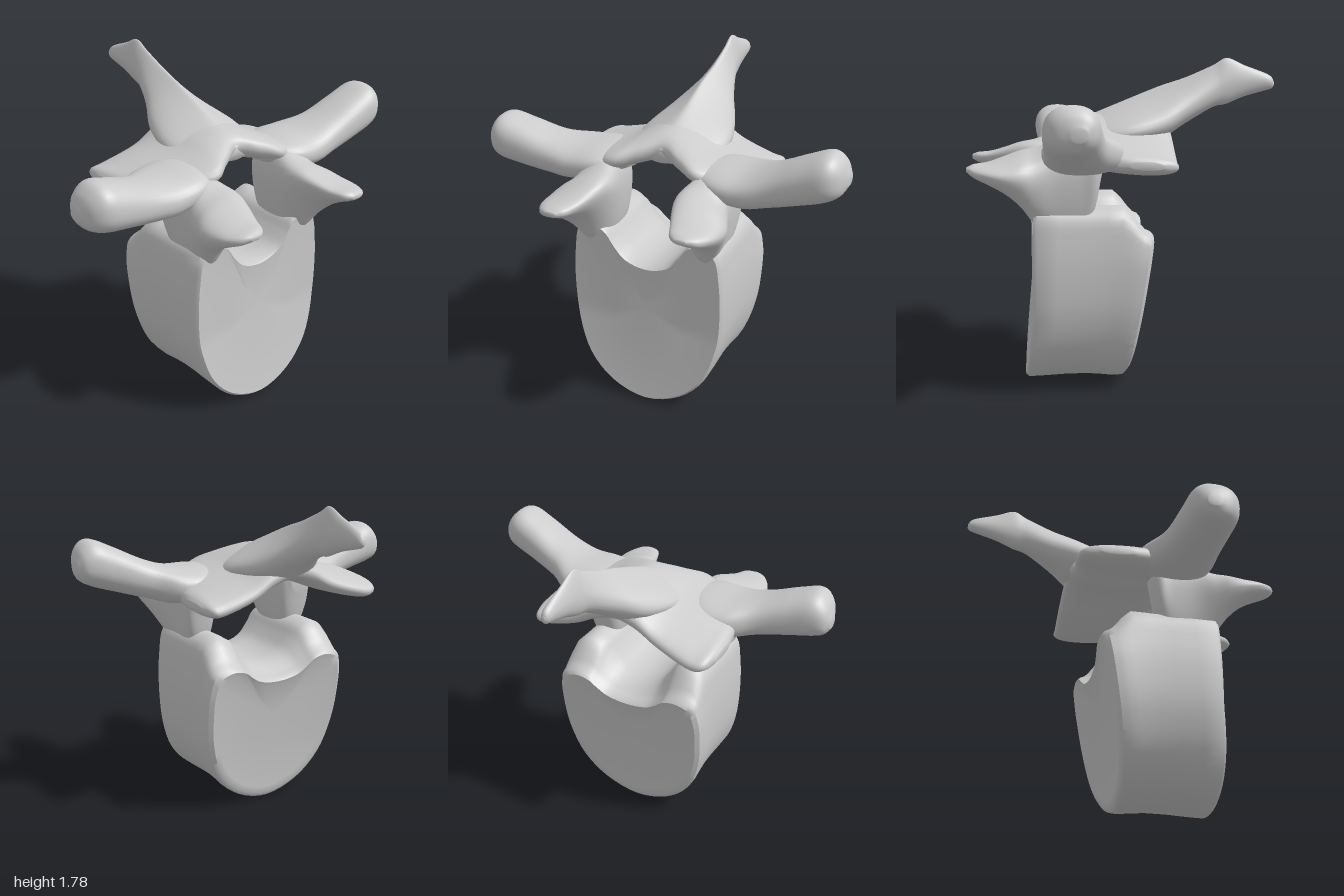
import * as THREE from 'three';
import { toCreasedNormals } from 'three/addons/utils/BufferGeometryUtils.js';

const material = new THREE.MeshStandardMaterial({ color: 0xcccccc });
const V = (x, y, z) => new THREE.Vector3(x, y, z);

// Closed skin over a list of equal-length rings, capped at both ends, facing outward
function skin(rings) {
  const m = rings[0].length, pts = rings.flat(), idx = [];
  for (let i = 0; i < rings.length - 1; i++) {
    for (let j = 0; j < m; j++) {
      const a = i * m + j, b = i * m + (j + 1) % m;
      idx.push(a, b, a + m, b, b + m, a + m);
    }
  }
  [0, rings.length - 1].forEach((r, end) => {
    const c = V(0, 0, 0);
    rings[r].forEach(p => c.addScaledVector(p, 1 / m));
    const k = pts.push(c) - 1;
    for (let j = 0; j < m; j++) {
      const a = r * m + j, b = r * m + (j + 1) % m;
      if (end) idx.push(a, b, k); else idx.push(b, a, k);
    }
  });
  let volume = 0;
  for (let i = 0; i < idx.length; i += 3) {
    volume += pts[idx[i]].dot(V(0, 0, 0).crossVectors(pts[idx[i + 1]], pts[idx[i + 2]]));
  }
  if (volume < 0) idx.reverse();
  const g = new THREE.BufferGeometry().setFromPoints(pts);
  g.setIndex(idx);
  g.computeVertexNormals();
  return g;
}

// Smooth loft along x or z. Section: [position, side centre, y centre, side radius, y radius, taper, slope]
// taper narrows the top (negative: the bottom), slope raises y along the side direction,
// power below 1 squares the cross-section, above 1 pinches it
function loft(axis, sections, power = 0.85) {
  const curve = f => new THREE.CatmullRomCurve3(sections.map(f), false, 'catmullrom', 0.5);
  const centre = curve(s => V(s[0], s[1], s[2]));
  const shape = curve(s => V(s[3], s[4], 0));
  const skew = curve(s => V(s[5] || 0, s[6] || 0, 0));
  const rings = [], n = (sections.length - 1) * 6, m = 36;
  const soft = v => Math.sign(v) * Math.abs(v) ** power;
  for (let i = 0; i <= n; i++) {
    const c = centre.getPoint(i / n), r = shape.getPoint(i / n), k = skew.getPoint(i / n);
    rings.push(Array.from({ length: m }, (_, j) => {
      const t = j / m * Math.PI * 2, s = soft(Math.sin(t));
      const a = r.x * soft(Math.cos(t)) * (1 - k.x * s);
      const y = c.z + r.y * s + k.y * a;
      return axis === 'x' ? V(c.x, y, c.y + a) : V(c.y + a, y, c.x);
    }));
  }
  return skin(rings);
}

// Block rounded below, with the canal groove on top and a back that slants and sinks at its upper rim
function bodyGeometry() {
  const half = [[0.13, 0.885], [0.2, 0.96], [0.25, 1.03], [0.33, 1.06], [0.41, 1.01], [0.44, 0.87],
    [0.45, 0.65], [0.43, 0.43], [0.355, 0.22], [0.21, 0.075]];
  const outline = [V(0, 0.85, 0), ...half.map(p => V(p[0], p[1], 0)), V(0, 0.01, 0),
    ...half.map(p => V(-p[0], p[1], 0)).reverse()];
  const loop = new THREE.CatmullRomCurve3(outline, true).getPoints(88).slice(0, 88);
  // [scale of the outline, depth from front to back]
  const stations = [[0.45, 0.012], [0.85, 0.004], [0.94, 0], [0.97, 0.03], [0.965, 0.2], [0.955, 0.4],
    [0.955, 0.6], [0.965, 0.72], [0.975, 0.8], [0.985, 0.87], [0.985, 0.92], [0.98, 0.97],
    [0.93, 1], [0.85, 0.99], [0.45, 0.97]];
  return toCreasedNormals(skin(stations.map(([s, k]) => {
    const sink = 1 - 0.45 * THREE.MathUtils.smoothstep(k, 0.68, 0.97);
    return loop.map(p => {
      const flat = p.y > 0.7 ? 0.7 + (p.y - 0.7) * sink : p.y;
      const y = 0.5 + (flat - 0.5) * s;
      const front = 0.55 - 0.05 * Math.min(1, y / 0.5), back = -0.14 * y / 0.88;
      return V(p.x * s, y, front + (back - front) * k);
    });
  })), 0.8);
}

export function createModel() {
  const group = new THREE.Group();
  const add = (name, geometry) => {
    const mesh = new THREE.Mesh(geometry, material);
    mesh.name = name;
    group.add(mesh);
  };

  add('vertebralBody', bodyGeometry());

  // Roof over the canal, ending in the lower joint lobes at the back corners
  add('lamina', loft('x', [
    [-0.56, -0.10, 1.26, 0.08, 0.02, 0, 0.05],
    [-0.53, -0.08, 1.265, 0.20, 0.045, 0, 0.08],
    [-0.45, -0.01, 1.275, 0.29, 0.065, 0, 0.1],
    [-0.25, 0.075, 1.335, 0.345, 0.075, 0, 0.08],
    [-0.12, 0.05, 1.39, 0.31, 0.085, 0, 0.03],
    [0, 0.02, 1.42, 0.28, 0.09, 0, 0.02],
    [0.12, 0.05, 1.39, 0.31, 0.085, 0, 0.03],
    [0.25, 0.075, 1.335, 0.335, 0.075, 0, 0.08],
    [0.42, 0.02, 1.28, 0.27, 0.065, 0, 0.1],
    [0.49, -0.05, 1.265, 0.19, 0.045, 0, 0.08],
    [0.52, -0.08, 1.26, 0.08, 0.02, 0, 0.05]]));

  // Thin blade rising backward, flaring into the roof at its root
  add('spinousProcess', loft('z', [
    [0.3, 0, 1.4, 0.08, 0.04, 0.3],
    [0.17, 0, 1.405, 0.2, 0.09, 0.5],
    [0, 0.01, 1.445, 0.22, 0.12, 0.7],
    [-0.2, 0.015, 1.5, 0.17, 0.145, 0.75],
    [-0.35, 0.025, 1.57, 0.105, 0.125, 0.65],
    [-0.5, 0.03, 1.645, 0.058, 0.115, 0.5],
    [-0.58, 0.03, 1.675, 0.045, 0.125, 0.4],
    [-0.68, 0.03, 1.675, 0.037, 0.085, 0.2],
    [-0.79, 0.03, 1.67, 0.03, 0.05],
    [-0.83, 0.03, 1.665, 0.022, 0.033],
    [-0.845, 0.03, 1.66, 0.008, 0.012]], 1.1));

  for (const s of [1, -1]) {
    const side = s > 0 ? 'left' : 'right';

    // Pillar from the body, sweeping forward into the upper joint lobe
    add(side + 'PedicleAndFacet', loft('z', [
      [0.14, 0.33 * s, 1.25, 0.06, 0.06, -0.1],
      [0.18, 0.32 * s, 1.17, 0.09, 0.17, -0.15],
      [0.25, 0.31 * s, 1.12, 0.095, 0.25, -0.2],
      [0.38, 0.305 * s, 1.11, 0.105, 0.255, -0.35, -0.15 * s],
      [0.48, 0.315 * s, 1.13, 0.12, 0.2, -0.45, -0.3 * s],
      [0.56, 0.335 * s, 1.175, 0.13, 0.135, -0.4, -0.3 * s],
      [0.64, 0.35 * s, 1.2, 0.125, 0.085, -0.3, -0.25 * s],
      [0.73, 0.36 * s, 1.215, 0.105, 0.05, -0.2, -0.15 * s],
      [0.8, 0.355 * s, 1.23, 0.075, 0.03, 0, -0.1 * s],
      [0.835, 0.35 * s, 1.235, 0.03, 0.012]]));

    // Sideways arm with a blunt club end, slightly higher on the left
    const drop = s > 0 ? 0 : 0.1;
    add(side + 'TransverseProcess', loft('x', [
      [0.16, 0.25, 1.35, 0.08, 0.04],
      [0.32, 0.24, 1.325, 0.2, 0.08],
      [0.48, 0.245, 1.315, 0.205, 0.1],
      [0.62, 0.285, 1.355, 0.16, 0.105],
      [0.78, 0.31, 1.42, 0.145, 0.12],
      [0.9, 0.32, 1.465, 0.135, 0.125],
      [0.965, 0.31, 1.465, 0.1, 0.09],
      [0.998, 0.29, 1.455, 0.035, 0.03]]
      .map(([x, z, y, rz, ry]) => [x * s, z, y - drop * Math.max(0, x - 0.4) / 0.6, rz, ry])));
  }
  return group;
}
